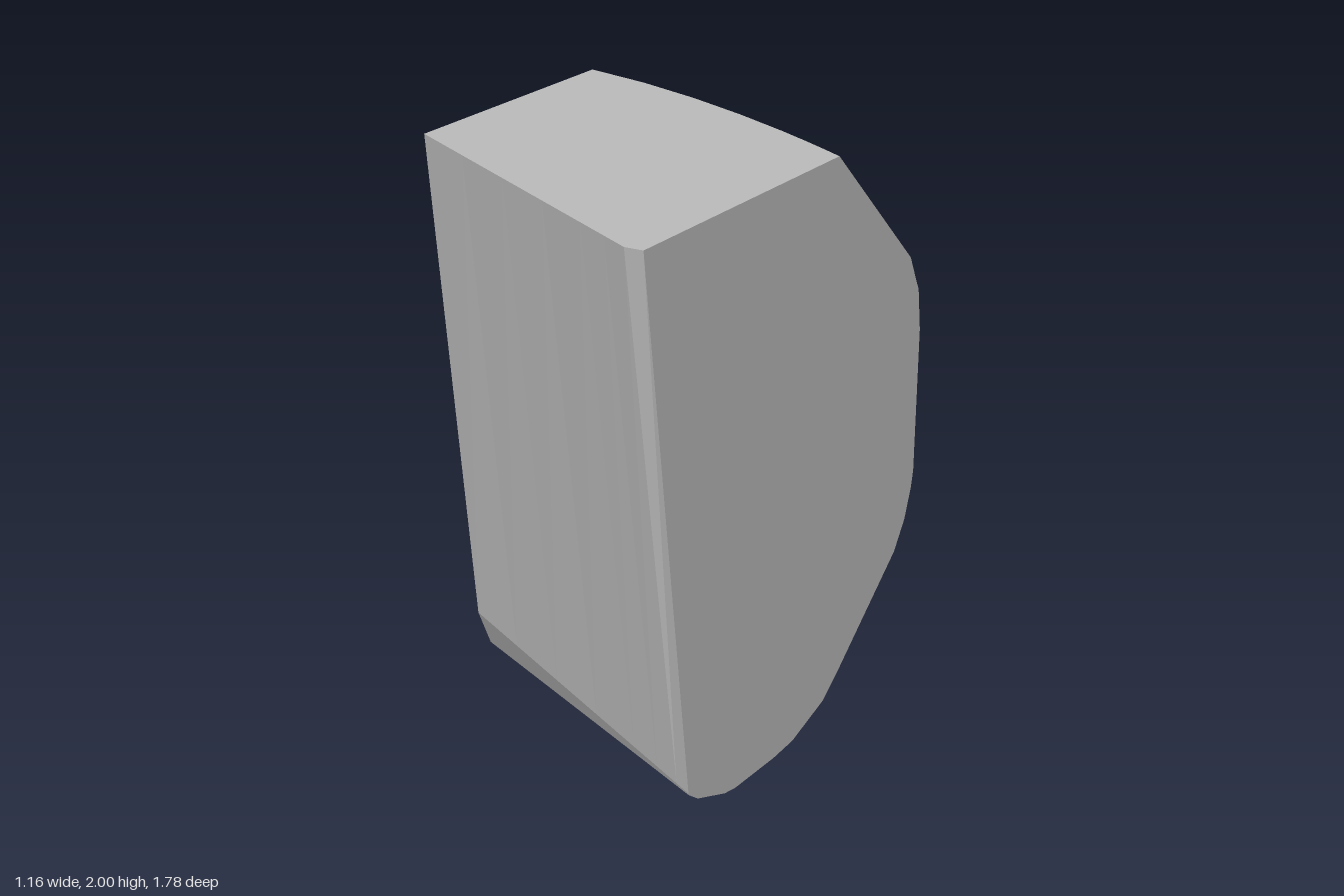
import * as THREE from 'three';

// End profiles as [z, y], from the front top edge, under the base, up the back.
const NARROW_END = [
  [0.465, 2], [0.29, 0.215], [0.23, 0.07], [0.18, 0.035], [0.1, 0.01], [0.03, 0],
  [-0.1, 0], [-0.2, 0.01], [-0.28, 0.03], [-0.42, 0.09], [-0.75, 0.43], [-0.83, 0.53],
  [-0.88, 0.62], [-0.89, 0.73], [-0.89, 1.25], [-0.88, 1.35], [-0.86, 1.44], [-0.78, 1.57], [-0.39, 2],
];
const WIDE_END = [
  [0.875, 2], [0.65, 0.115], [0.648, 0.108], [0.6, 0.07], [0.45, 0.01], [0.39, 0],
  [0.17, 0], [0.06, 0.01], [-0.12, 0.075], [-0.2, 0.14], [-0.55, 0.46], [-0.61, 0.56],
  [-0.645, 0.67], [-0.655, 0.73], [-0.655, 1.25], [-0.635, 1.4], [-0.62, 1.43], [-0.575, 1.53], [-0.12, 2],
];
const HALF = 0.58;
const STATIONS = [-HALF, -0.35, -0.12, 0.1, 0.3, 0.42, 0.52, HALF];
const FIRST_BACK_POINT = 6;

// Cross-section at x: the front is straight, the back bows outward.
function section(x) {
  const u = (x + HALF) / (2 * HALF);
  return NARROW_END.map(([z, y], i) => {
    const [z1, y1] = WIDE_END[i];
    const t = i < FIRST_BACK_POINT ? u : Math.pow(u, 1.7);
    const p = new THREE.Vector3(x, y + (y1 - y) * t, z + (z1 - z) * t);
    // Slight chamfer at the tall front corner
    if (i === 0 && x < HALF) p.z = 0.465 + 0.443 * u;
    return p;
  });
}

function facetedMesh(name, triangles, material) {
  const geometry = new THREE.BufferGeometry().setFromPoints(triangles);
  geometry.computeVertexNormals();
  const mesh = new THREE.Mesh(geometry, material);
  mesh.name = name;
  return mesh;
}

export function createModel() {
  const group = new THREE.Group();
  group.name = 'roundedBlock';
  const stone = new THREE.MeshStandardMaterial({ color: 0xbcbcbc, flatShading: true });
  stone.name = 'pale grey';

  const sections = STATIONS.map(section);
  const count = NARROW_END.length;
  const front = [], shell = [], top = [], ends = [];

  // Front, curved shell and top, lofted between neighbouring sections
  for (let s = 0; s < sections.length - 1; s++) {
    for (let i = 0; i < count; i++) {
      const j = (i + 1) % count;
      const a = sections[s][i], b = sections[s + 1][i];
      const c = sections[s + 1][j], d = sections[s][j];
      const target = i === 0 ? front : i === count - 1 ? top : shell;
      target.push(a, d, b, d, c, b);
    }
  }

  // Flat ends
  const left = sections[sections.length - 1], right = sections[0];
  for (let i = 1; i < count - 1; i++) {
    ends.push(left[0], left[i], left[i + 1]);
    ends.push(right[0], right[i + 1], right[i]);
  }

  group.add(
    facetedMesh('frontFace', front, stone),
    facetedMesh('curvedShell', shell, stone),
    facetedMesh('topFace', top, stone),
    facetedMesh('endFaces', ends, stone),
  );
  return group;
}
